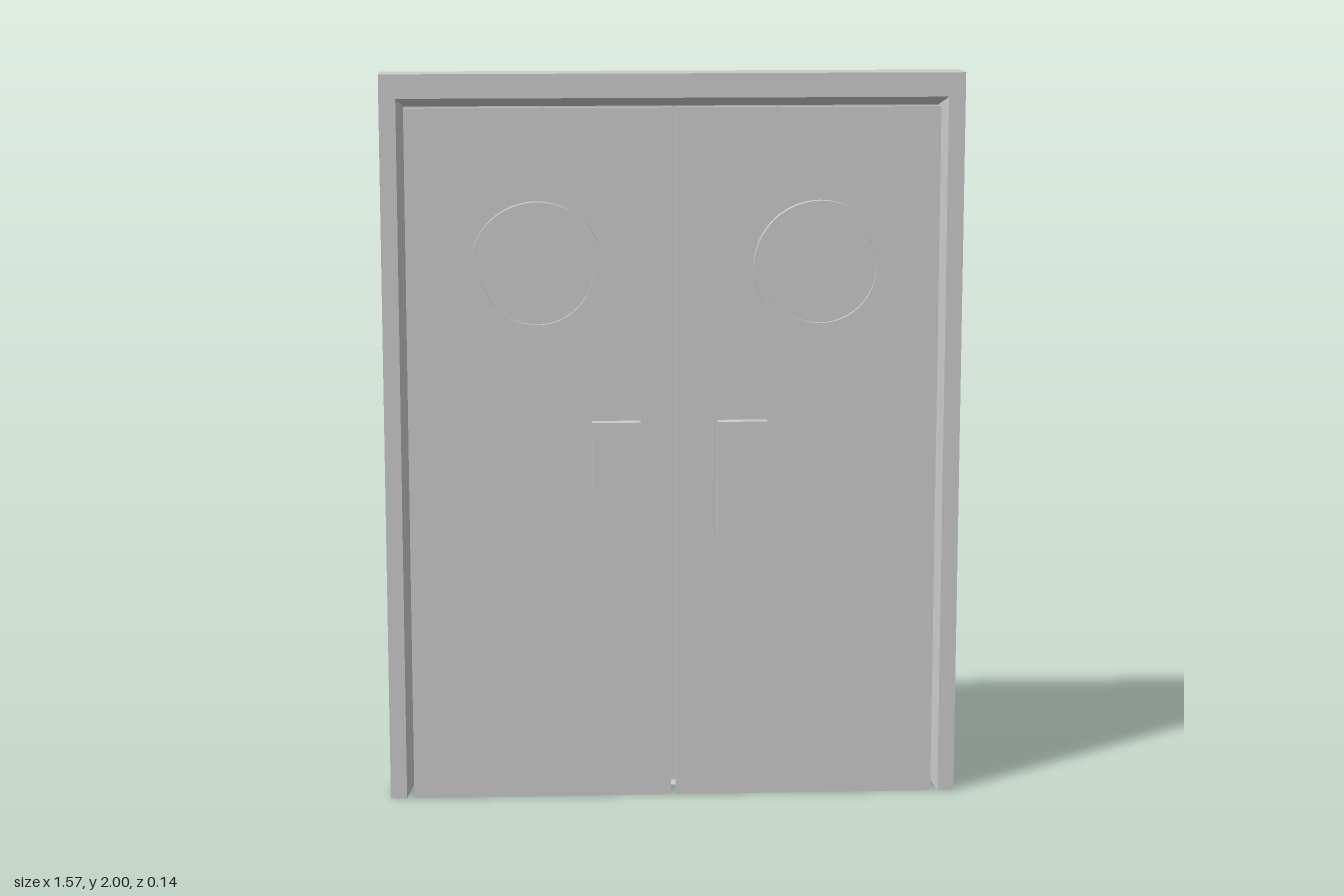
import * as THREE from 'three';

const mat = new THREE.MeshStandardMaterial({ color: 0xcccccc, side: THREE.DoubleSide, flatShading: true });
const smooth = new THREE.MeshStandardMaterial({ color: 0xcccccc, side: THREE.DoubleSide });

const W = 0.785, H = 2;            // frame outer half width and height
const FRONT = 0.038, BACK = -0.07; // frame depth range
const PANEL_Z = -0.02;             // back panel of the door recess

function add(parent, name, geometry, x = 0, y = 0, z = 0, material = mat) {
  const mesh = new THREE.Mesh(geometry, material);
  mesh.name = name;
  mesh.position.set(x, y, z);
  parent.add(mesh);
  return mesh;
}

// Box given by its lower and upper corners
function box(parent, name, [x0, y0, z0], [x1, y1, z1]) {
  return add(parent, name, new THREE.BoxGeometry(x1 - x0, y1 - y0, z1 - z0),
    (x0 + x1) / 2, (y0 + y1) / 2, (z0 + z1) / 2);
}

// Open strip joining two outlines with the same number of points
function strip(a, b) {
  const pos = [];
  for (let i = 0; i < a.length - 1; i++) {
    pos.push(...a[i], ...b[i], ...b[i + 1], ...a[i], ...b[i + 1], ...a[i + 1]);
  }
  const g = new THREE.BufferGeometry();
  g.setAttribute('position', new THREE.Float32BufferAttribute(pos, 3));
  g.computeVertexNormals();
  return g;
}

// Up one side, across the top and down the other
const arch = (w, y0, y1, z) => [[-w, y0, z], [-w, y1, z], [w, y1, z], [w, y0, z]];

export function createModel() {
  const model = new THREE.Group();
  model.name = 'doubleDoor';

  // Frame: flat front face and thin walls reaching back
  const frame = new THREE.Group();
  frame.name = 'frame';
  model.add(frame);
  const face = new THREE.Shape([
    [-W, 0], [-0.74, 0], [-0.74, 1.935], [0.74, 1.935], [0.74, 0], [W, 0], [W, H], [-W, H],
  ].map(([x, y]) => new THREE.Vector2(x, y)));
  add(frame, 'frameFace', new THREE.ShapeGeometry(face), 0, 0, FRONT);
  add(frame, 'frameWalls', strip(arch(W, 0, H, FRONT), arch(W, 0, H, BACK)));

  // Recess behind the doors: sloped rim, floor and back panel
  add(frame, 'recessRim', strip(arch(0.74, 0, 1.935, FRONT), arch(0.72, 0.025, 1.91, PANEL_Z)));
  add(frame, 'recessFloor', strip(
    [[-0.72, 0.025, 0.03], [0.72, 0.025, 0.03]],
    [[-0.72, 0.025, PANEL_Z], [0.72, 0.025, PANEL_Z]]));
  add(frame, 'backPanel', new THREE.PlaneGeometry(1.44, 1.885), 0, 0.9675, PANEL_Z);

  // Raised porthole: outer wall, rim, shallow inner wall and pane
  const porthole = new THREE.LatheGeometry([
    [0.18, 0], [0.18, 0.024], [0.18, 0.024], [0.152, 0.024], [0.152, 0.024],
    [0.152, 0.012], [0.152, 0.012], [0, 0.012],
  ].map(([r, y]) => new THREE.Vector2(r, y)), 48);
  porthole.rotateX(Math.PI / 2);

  // Two door leaves, each with a porthole and a push plate
  const leaves = [
    { side: 'right', x0: -0.72, x1: -0.007, window: -0.368, plate: [-0.222, -0.09] },
    { side: 'left', x0: 0.007, x1: 0.72, window: 0.396, plate: [0.12, 0.255] },
  ];
  for (const { side, x0, x1, window: cx, plate } of leaves) {
    const leaf = new THREE.Group();
    leaf.name = side + 'Door';
    model.add(leaf);
    box(leaf, 'doorPanel', [x0, 0, 0.022], [x1, 1.91, FRONT]);
    add(leaf, 'porthole', porthole, cx, 1.48, FRONT, smooth);
    box(leaf, 'pushPlate', [plate[0], 0.75, FRONT - 0.005], [plate[1], 1.06, 0.07]);
  }
  return model;
}
